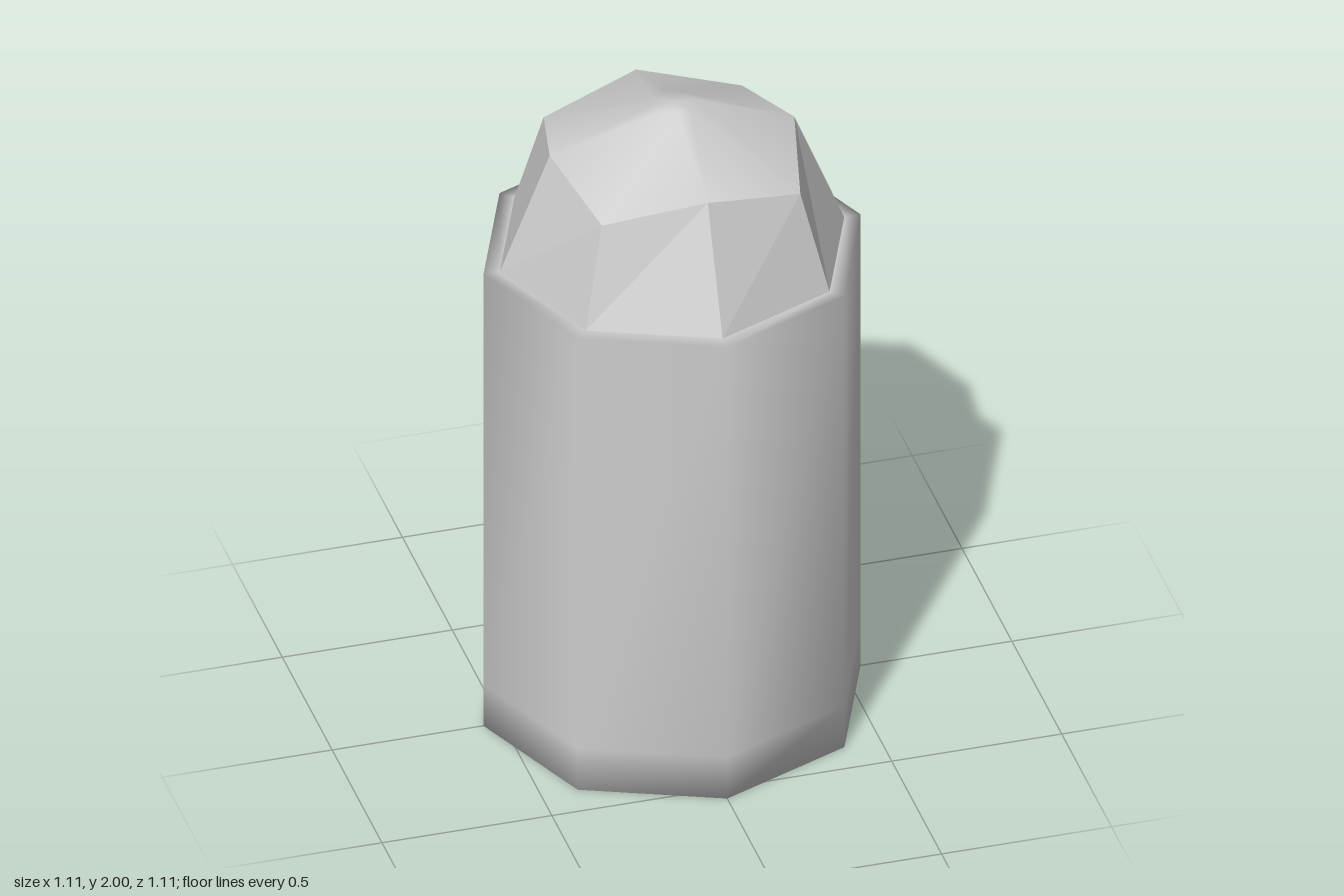
import * as THREE from 'three';

const SIDES = 8;

// Joins eight-sided rings, listed from bottom to top.
// Each ring is [axis radius, axis height, diagonal radius, diagonal height].
function loft(rings) {
  const pos = [], index = [];
  for (const [r, y, rd = r, yd = y] of rings) {
    for (let i = 0; i < SIDES; i++) {
      const a = (i / SIDES) * Math.PI * 2;
      const radius = i % 2 ? rd : r;
      pos.push(Math.sin(a) * radius, i % 2 ? yd : y, Math.cos(a) * radius);
    }
  }
  for (let j = 0; j < rings.length - 1; j++) {
    for (let i = 0; i < SIDES; i++) {
      const k = (i + 1) % SIDES;
      const a = j * SIDES + i, b = j * SIDES + k;
      const c = a + SIDES, d = b + SIDES;
      if (rings[j][0] > 0) index.push(a, b, d);
      if (rings[j + 1][0] > 0) index.push(a, d, c);
      else if (rings[j][0] > 0) index[index.length - 1] = c;
      if (rings[j][0] === 0) index.splice(-3, 3, a, d, c);
    }
  }
  const geo = new THREE.BufferGeometry();
  geo.setAttribute('position', new THREE.Float32BufferAttribute(pos, 3));
  geo.setIndex(index);
  geo.computeVertexNormals();
  return geo;
}

// Gives every triangle its own normal.
function faceted(geo) {
  const flat = geo.toNonIndexed();
  flat.computeVertexNormals();
  return flat;
}

export function createModel() {
  const model = new THREE.Group();
  model.name = 'domedCylinder';
  const grey = new THREE.MeshStandardMaterial({ color: 0xcccccc });
  grey.name = 'light grey';

  const add = (name, geo) => {
    const mesh = new THREE.Mesh(geo, grey);
    mesh.name = name;
    model.add(mesh);
  };

  // Smooth-shaded body with an inset base and a narrow rim on top
  add('body', loft([[0, 0], [0.46, 0], [0.555, 0], [0.555, 0.14], [0.555, 1.52], [0.505, 1.52]]));

  // Faceted sloping band, its upper edge dipping at the diagonals
  const upper = [0.36, 1.885, 0.413, 1.82];
  add('domeBand', faceted(loft([[0.507, 1.52], upper])));

  // Smooth cap with a small flat tip
  add('domeCap', loft([upper, [0.06, 2], [0, 2]]));

  return model;
}
